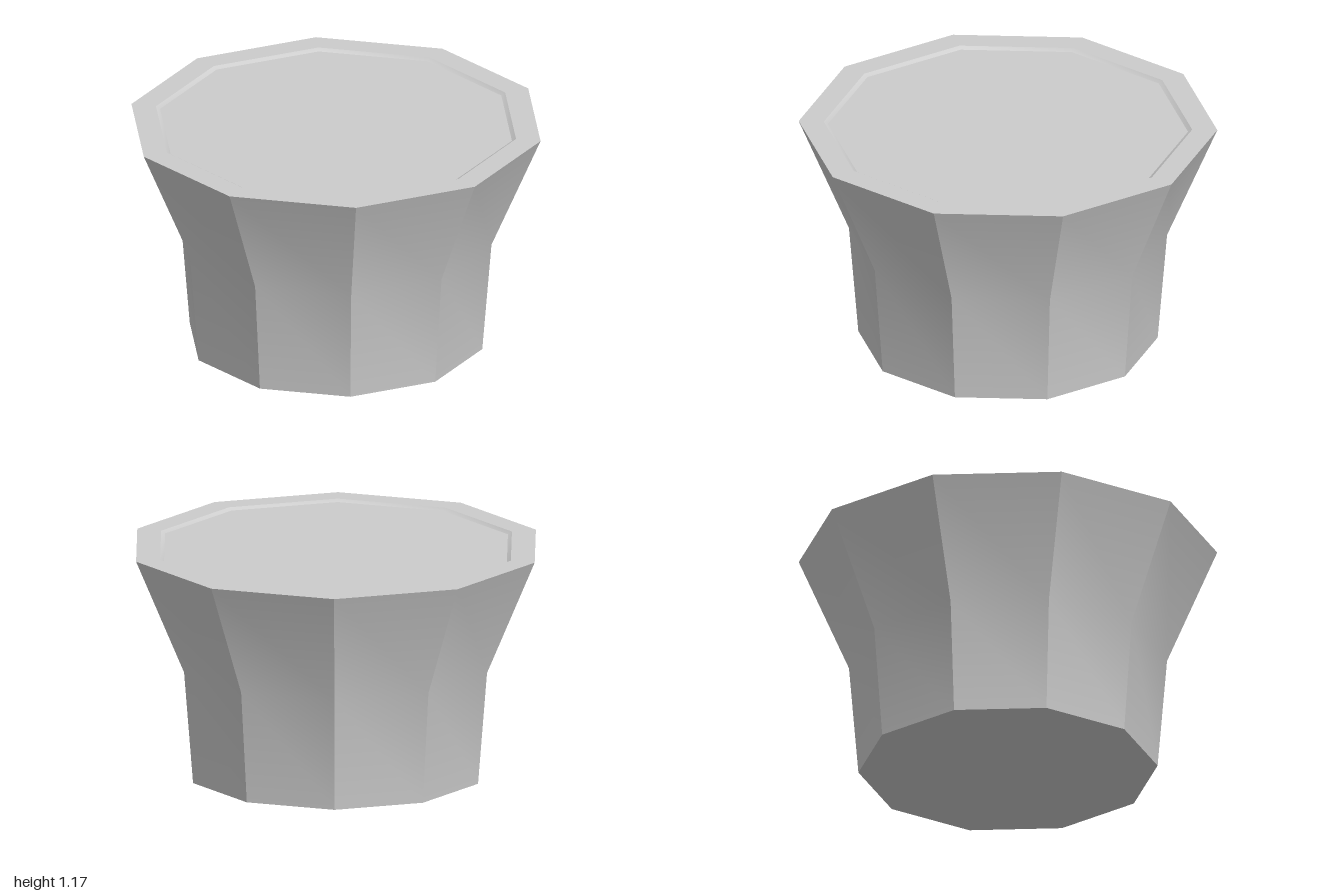
import * as THREE from 'three';
import { toCreasedNormals } from 'three/addons/utils/BufferGeometryUtils.js';

const SIDES = 10;

// Ten-sided turned surface with a corner on the x axis; profile runs bottom to top
function turned(name, profile, material) {
  const points = profile.map(([r, y]) => new THREE.Vector2(r, y));
  const lathe = new THREE.LatheGeometry(points, SIDES, Math.PI / 2);
  const mesh = new THREE.Mesh(toCreasedNormals(lathe, THREE.MathUtils.degToRad(30)), material);
  mesh.name = name;
  return mesh;
}

export function createModel() {
  const group = new THREE.Group();
  group.name = 'flaredPot';
  const material = new THREE.MeshStandardMaterial({ color: 0xcccccc });

  // Shallow pointed underside
  group.add(turned('base', [[0, 0], [0.715, 0.055]], material));
  // Nearly straight foot, then a flare up to the lip
  group.add(turned('wall', [[0.715, 0.055], [0.76, 0.605], [1, 1.17]], material));
  // Flat lip with a small bevelled step on its inside
  group.add(turned('rim', [[1, 1.17], [0.88, 1.17], [0.86, 1.158]], material));
  // Slightly sunken top surface
  group.add(turned('filling', [[0.86, 1.158], [0, 1.158]], material));

  return group;
}
